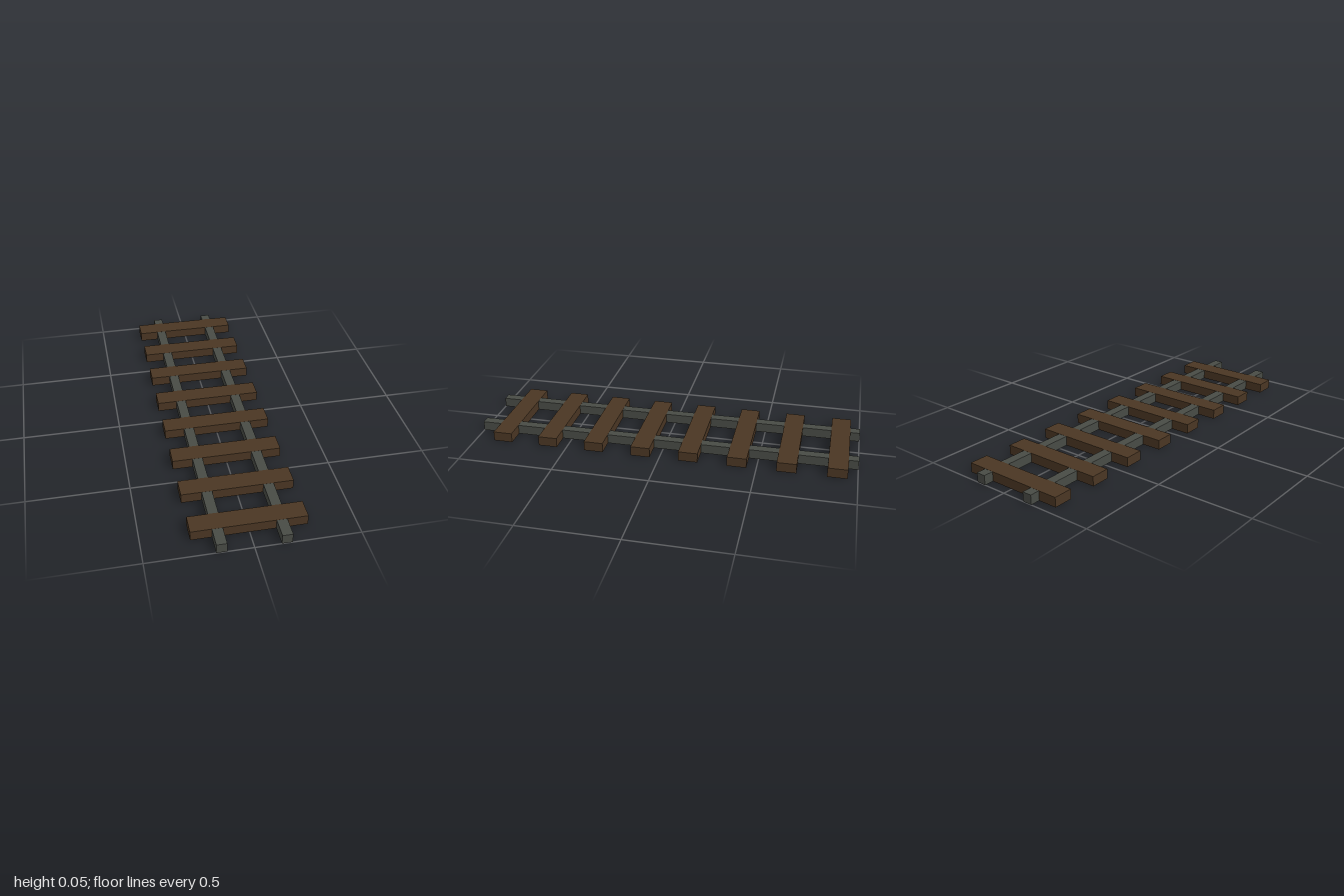
import * as THREE from 'three';

export function createModel() {
  const model = new THREE.Group();
  model.name = 'railTrack';

  const wood = new THREE.MeshStandardMaterial({ color: 0x4a3623 });
  wood.name = 'dark wood';
  const iron = new THREE.MeshStandardMaterial({ color: 0x484b45 });
  iron.name = 'dull iron';

  const height = 0.05;
  const addBox = (name, material, width, tall, depth, x, z) => {
    const mesh = new THREE.Mesh(new THREE.BoxGeometry(width, tall, depth), material);
    mesh.name = name;
    mesh.position.set(x, height / 2, z);
    model.add(mesh);
  };

  // Two rails, a hair lower than the sleepers so shared faces do not flicker
  for (const [name, x] of [['leftRail', 0.15], ['rightRail', -0.15]]) {
    addBox(name, iron, 0.05, height - 0.001, 2, x, 0);
  }

  // Eight evenly spaced sleepers
  for (let i = 0; i < 8; i++) {
    addBox(`sleeper${i + 1}`, wood, 0.55, height, 0.1, 0, -0.9 + i * 0.25);
  }

  return model;
}
